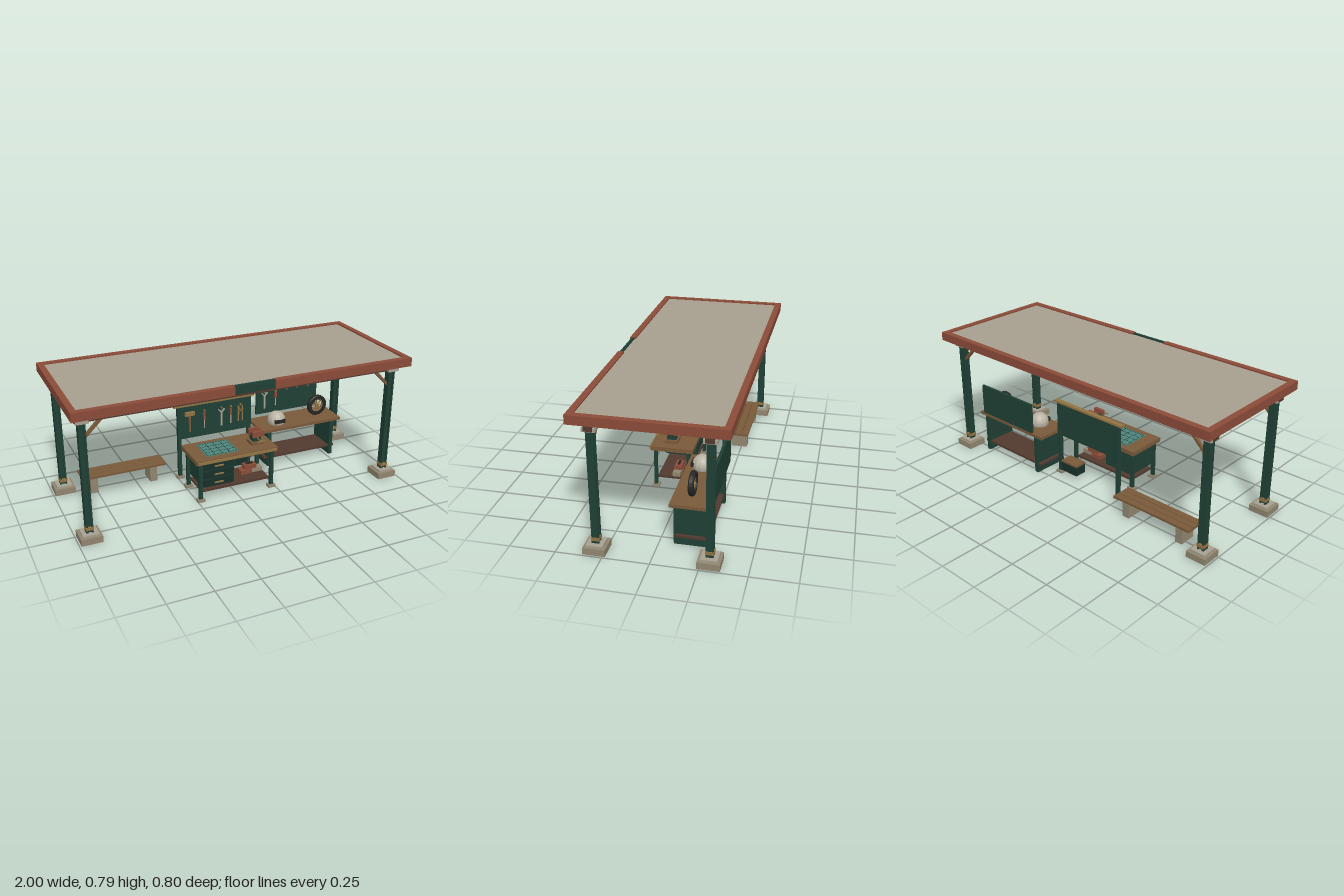
import * as THREE from 'three';

const mat = (color) => new THREE.MeshStandardMaterial({ color, flatShading: true });
const M = {
  green: mat(0x1f4035), deep: mat(0x18302a), red: mat(0x8c4c39), dark: mat(0x523a2e),
  wood: mat(0x7a5a3a), gold: mat(0x927443), stone: mat(0x91866f), pale: mat(0xa8a191),
  roof: mat(0xa89f8f), teal: mat(0x4f857c), black: mat(0x262624), shell: mat(0xb9b3a3),
};

export function createModel() {
  const root = new THREE.Group();

  const group = (name, parent = root) => {
    const g = new THREE.Group();
    g.name = name;
    parent.add(g);
    return g;
  };
  const add = (parent, name, geo, m, x = 0, y = 0, z = 0) => {
    const mesh = new THREE.Mesh(geo, m);
    mesh.name = name;
    mesh.position.set(x, y, z);
    parent.add(mesh);
    return mesh;
  };
  // Box given by its lower and upper limits on each axis
  const box = (parent, name, m, x0, x1, y0, y1, z0, z1) =>
    add(parent, name, new THREE.BoxGeometry(x1 - x0, y1 - y0, z1 - z0), m,
      (x0 + x1) / 2, (y0 + y1) / 2, (z0 + z1) / 2);
  // Box centred on x and z, standing from y0 to y1
  const block = (parent, name, m, x, z, w, d, y0, y1) =>
    box(parent, name, m, x - w / 2, x + w / 2, y0, y1, z - d / 2, z + d / 2);

  // Roof: panel, fascia with a gap for the sign, joists and long beams
  const roof = group('roof');
  box(roof, 'roofPanel', M.roof, -0.97, 0.97, 0.75, 0.777, -0.37, 0.372);
  box(roof, 'backFascia', M.red, -1, 1, 0.735, 0.785, -0.4, -0.365);
  for (const s of [-1, 1]) {
    block(roof, 'sideFascia', M.red, s * 0.9825, 0, 0.035, 0.73, 0.735, 0.785);
    block(roof, 'frontFascia', M.red, s * 0.56, 0.3825, 0.88, 0.035, 0.735, 0.785);
    block(roof, 'beam', M.dark, 0, s * 0.297, 1.94, 0.045, 0.692, 0.73);
  }
  box(roof, 'signBoard', M.green, -0.12, 0.12, 0.735, 0.785, 0.372, 0.39);
  for (let i = 0; i < 13; i++) {
    block(roof, 'joist', M.wood, -0.9 + i * 0.15, 0, 0.022, 0.73, 0.725, 0.752);
  }

  // Four H-section posts with footings, collars, caps and braces
  for (const sx of [-1, 1]) for (const sz of [-1, 1]) {
    const p = group('post');
    const x = sx * 0.93, z = sz * 0.297;
    block(p, 'footing', M.stone, x, z, 0.12, 0.12, 0, 0.037);
    block(p, 'basePlate', M.pale, x, z, 0.09, 0.09, 0.037, 0.048);
    block(p, 'postWeb', M.green, x, z, 0.026, 0.022, 0.048, 0.69);
    for (const f of [-1, 1]) block(p, 'postFlange', M.green, x + f * 0.015, z, 0.01, 0.04, 0.048, 0.69);
    block(p, 'collar', M.gold, x, z, 0.044, 0.044, 0.063, 0.083);
    block(p, 'cap', M.pale, x, z, 0.07, 0.07, 0.687, 0.709);
    const brace = add(p, 'brace', new THREE.BoxGeometry(0.14, 0.016, 0.018), M.wood, sx * 0.868, 0.648, z);
    brace.rotation.z = -sx * 0.78;
  }

  // Bench of three slats on two stone legs
  const bench = group('bench');
  for (const i of [-1, 0, 1]) block(bench, 'slat', M.wood, -0.58, -0.235 + i * 0.043, 0.52, 0.039, 0.1, 0.113);
  for (const x of [-0.768, -0.398]) block(bench, 'benchLeg', M.stone, x, -0.235, 0.045, 0.1, 0, 0.1);

  // Workbench: top, legs, shelf and a drawer cabinet
  const work = group('workbench');
  box(work, 'worktop', M.wood, -0.26, 0.255, 0.243, 0.269, -0.062, 0.187);
  box(work, 'frontEdge', M.gold, -0.25, 0.245, 0.249, 0.263, 0.187, 0.195);
  for (const x of [-0.23, 0.227]) for (const z of [-0.032, 0.162]) {
    block(work, 'leg', M.green, x, z, 0.022, 0.018, 0.016, 0.243);
    block(work, 'foot', M.stone, x, z, 0.045, 0.04, 0, 0.016);
  }
  box(work, 'lowerShelf', M.dark, -0.22, 0.216, 0.05, 0.064, -0.026, 0.153);
  box(work, 'drawerCabinet', M.green, -0.22, -0.016, 0.088, 0.243, -0.026, 0.162);
  for (const y of [0.217, 0.164, 0.111]) {
    block(work, 'drawer', M.deep, -0.118, 0.167, 0.185, 0.01, y - 0.022, y + 0.022);
    block(work, 'drawerHandle', M.gold, -0.118, 0.175, 0.055, 0.008, y - 0.004, y + 0.004);
  }

  // Cutting mat with a raised border and a few rules
  const mat1 = group('cuttingMat');
  box(mat1, 'matSheet', M.teal, -0.18, 0.02, 0.269, 0.272, -0.025, 0.145);
  for (let i = 0; i < 5; i++) {
    block(mat1, 'matRule', M.deep, -0.172 + i * 0.046, 0.06, 0.002, 0.155, 0.272, 0.273);
    block(mat1, 'matRule', M.deep, -0.08, -0.017 + i * 0.0385, 0.185, 0.002, 0.272, 0.273);
  }

  // Vise
  const vise = group('vise');
  block(vise, 'viseBase', M.wood, 0.16, 0.078, 0.08, 0.076, 0.269, 0.287);
  block(vise, 'viseBody', M.green, 0.16, 0.078, 0.05, 0.054, 0.287, 0.328);
  for (const z of [0.108, 0.05]) block(vise, 'viseJaw', M.red, 0.16, z, 0.07, 0.02, 0.318, 0.353);
  const screw = add(vise, 'viseScrew', new THREE.CylinderGeometry(0.004, 0.004, 0.055, 8), M.gold, 0.16, 0.308, 0.132);
  screw.rotation.x = Math.PI / 2;
  block(vise, 'viseHandle', M.gold, 0.16, 0.157, 0.05, 0.006, 0.305, 0.311);

  // Boxes on the shelf and a lidded crate behind the bench
  const stock = group('storedBoxes');
  box(stock, 'stoneBox', M.stone, 0.145, 0.215, 0.064, 0.09, 0.022, 0.067);
  box(stock, 'redBox', M.red, 0.07, 0.142, 0.064, 0.09, 0.015, 0.075);
  box(stock, 'topBox', M.red, 0.098, 0.178, 0.09, 0.115, 0.02, 0.064);
  block(stock, 'boxHandle', M.black, 0.138, 0.042, 0.045, 0.012, 0.115, 0.123);
  box(stock, 'crate', M.deep, 0.08, 0.2, 0.03, 0.088, -0.185, -0.11);
  box(stock, 'crateLid', M.wood, 0.078, 0.202, 0.088, 0.1, -0.187, -0.108);

  // Hanging tools, each with its head at the top
  const hammer = (g, x, y, z) => {
    block(g, 'hammerHead', M.gold, x, z, 0.06, 0.016, y - 0.024, y);
    block(g, 'hammerHandle', M.wood, x, z, 0.011, 0.01, y - 0.13, y - 0.024);
  };
  const wrench = (g, x, y, z) => {
    block(g, 'wrenchShaft', M.pale, x, z, 0.01, 0.008, y - 0.11, y - 0.022);
    for (const s of [-1, 1]) {
      const jaw = add(g, 'wrenchJaw', new THREE.BoxGeometry(0.008, 0.03, 0.008), M.pale, x + s * 0.01, y - 0.012, z);
      jaw.rotation.z = -s * 0.75;
    }
  };
  const driver = (g, x, y, z) => {
    block(g, 'driverGrip', M.red, x, z, 0.013, 0.012, y - 0.045, y);
    block(g, 'driverShaft', M.pale, x, z, 0.005, 0.005, y - 0.1, y - 0.045);
  };

  // Tool board on its own posts behind the workbench
  const board = group('toolBoard');
  box(board, 'boardPanel', M.green, -0.245, 0.24, 0.262, 0.47, -0.175, -0.152);
  box(board, 'boardTopRail', M.gold, -0.268, 0.262, 0.47, 0.482, -0.178, -0.149);
  for (const x of [-0.234, 0.229]) {
    block(board, 'boardPost', M.green, x, -0.163, 0.022, 0.022, 0.012, 0.47);
    block(board, 'boardFoot', M.stone, x, -0.163, 0.045, 0.04, 0, 0.016);
  }
  hammer(board, -0.17, 0.435, -0.145);
  for (const x of [-0.075, 0.1]) driver(board, x, 0.415, -0.146);
  wrench(board, 0.038, 0.42, -0.147);
  for (const s of [-1, 1]) block(board, 'pliersArm', M.gold, 0.165 + s * 0.013, -0.147, 0.008, 0.008, 0.32, 0.42);
  block(board, 'pliersPivot', M.wood, 0.165, -0.146, 0.036, 0.01, 0.385, 0.397);
  for (const x of [-0.17, -0.075, 0.038, 0.1, 0.165]) block(board, 'peg', M.gold, x, -0.145, 0.008, 0.016, 0.425, 0.433);

  // Side table with end panels and a through shelf
  const table = group('sideTable');
  box(table, 'tableTop', M.wood, 0.28, 0.835, 0.24, 0.258, -0.275, -0.062);
  for (const x of [0.338, 0.784]) block(table, 'endPanel', M.green, x, -0.174, 0.024, 0.193, 0, 0.24);
  box(table, 'tableShelf', M.dark, 0.305, 0.812, 0.05, 0.063, -0.263, -0.086);

  // Second tool board behind the table
  const board2 = group('rearToolBoard');
  box(board2, 'rearBoardPanel', M.green, 0.34, 0.778, 0.275, 0.462, -0.295, -0.28);
  wrench(board2, 0.395, 0.42, -0.275);
  for (let i = 0; i < 5; i++) block(board2, 'peg', M.gold, 0.395 + i * 0.078, -0.273, 0.009, 0.014, 0.42, 0.429);
  driver(board2, 0.473, 0.42, -0.273);

  // Faceted helmet with a visor
  const helmet = group('helmet');
  add(helmet, 'helmetShell',
    new THREE.SphereGeometry(0.057, 12, 8, 0, Math.PI * 2, 0, Math.PI * 0.63), M.shell, 0.42, 0.279, -0.152);
  add(helmet, 'helmetBase', new THREE.CylinderGeometry(0.05, 0.05, 0.004, 12), M.black, 0.42, 0.26, -0.152);
  block(helmet, 'visor', M.black, 0.42, -0.104, 0.07, 0.022, 0.274, 0.296);

  // Wheel with tyre, rim, hub and spokes, standing on the table
  const wheel = group('wheel');
  wheel.position.set(0.715, 0.325, -0.162);
  const tyre = [[0.043, -0.014], [0.062, -0.014], [0.067, -0.008], [0.067, 0.008],
    [0.062, 0.014], [0.043, 0.014], [0.043, -0.014]].map(([r, y]) => new THREE.Vector2(r, y));
  add(wheel, 'tyre', new THREE.LatheGeometry(tyre, 24), M.black).rotation.x = Math.PI / 2;
  add(wheel, 'rim', new THREE.TorusGeometry(0.041, 0.005, 6, 24), M.gold);
  add(wheel, 'hub', new THREE.CylinderGeometry(0.011, 0.011, 0.03, 12), M.gold).rotation.x = Math.PI / 2;
  for (let i = 0; i < 4; i++) {
    add(wheel, 'spoke', new THREE.BoxGeometry(0.08, 0.005, 0.006), M.gold).rotation.z = (i * Math.PI) / 4;
  }

  return root;
}
